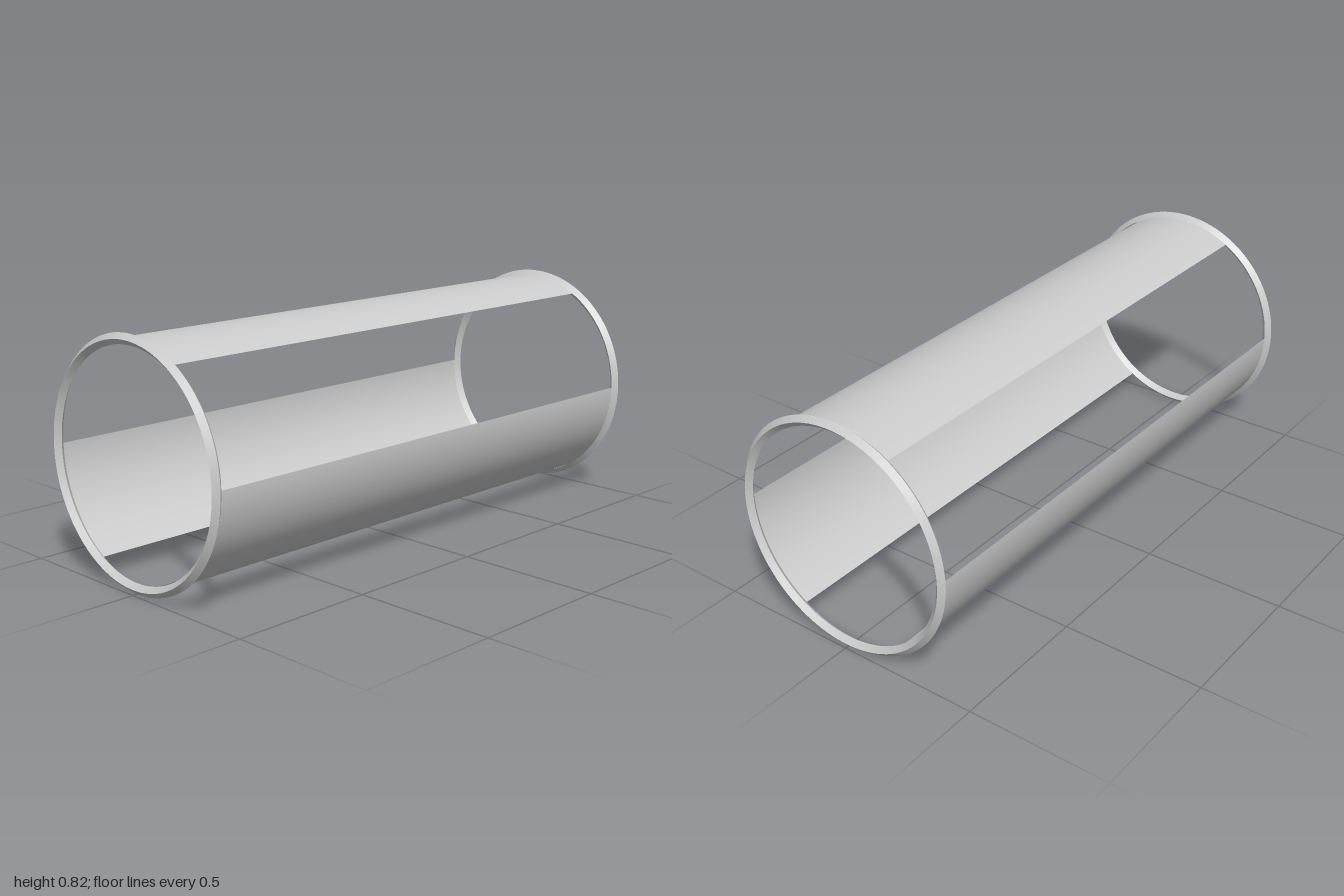
import * as THREE from 'three';
import { toCreasedNormals } from 'three/addons/utils/BufferGeometryUtils.js';

const RADIUS = 0.391;    // radius of the panels and the ring centre line
const RING = 0.018;      // half thickness of the diamond ring section
const CENTRE_Y = RADIUS + RING;
const RING_Z = 1 - RING;

export function createModel() {
  const model = new THREE.Group();
  const material = new THREE.MeshStandardMaterial({ color: 0xcccccc });
  const sheet = new THREE.MeshStandardMaterial({ color: 0xcccccc, side: THREE.DoubleSide });

  // End rings: diamond section, crisp ridges, smooth around the circle
  const ringGeometry = toCreasedNormals(new THREE.TorusGeometry(RADIUS, RING, 4, 120), 0.6);
  for (const [name, z] of [['frontRing', RING_Z], ['backRing', -RING_Z]]) {
    const ring = new THREE.Mesh(ringGeometry, material);
    ring.name = name;
    ring.position.set(0, CENTRE_Y, z);
    model.add(ring);
  }

  // Three thin curved panels, each a sixth of the circle, joining the rings
  const span = Math.PI / 3;
  const panels = [['topPanel', Math.PI], ['leftPanel', span], ['rightPanel', -span]];
  for (const [name, middle] of panels) {
    const geometry = new THREE.CylinderGeometry(
      RADIUS, RADIUS, 2 * RING_Z, 20, 1, true, middle - span / 2, span);
    geometry.rotateX(Math.PI / 2);
    const panel = new THREE.Mesh(geometry, sheet);
    panel.name = name;
    panel.position.y = CENTRE_Y;
    model.add(panel);
  }
  return model;
}
